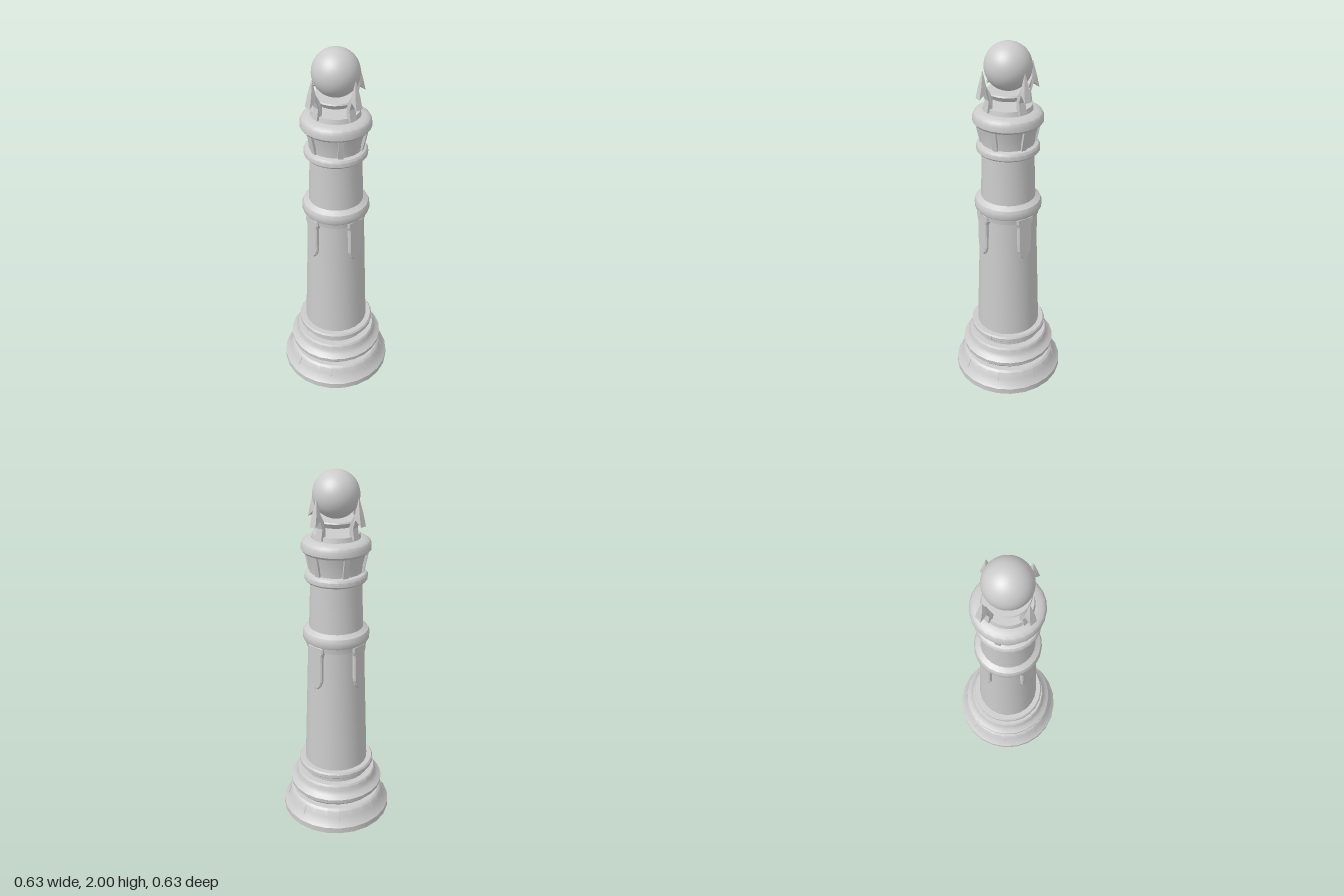
import * as THREE from 'three';
import { toCreasedNormals } from 'three/addons/utils/BufferGeometryUtils.js';

const material = new THREE.MeshStandardMaterial({ color: 0xcccccc, side: THREE.DoubleSide });

export function createModel() {
  const root = new THREE.Group();

  const add = (name, geometry, parent = root) => {
    const mesh = new THREE.Mesh(geometry, material);
    mesh.name = name;
    parent.add(mesh);
    return mesh;
  };

  // Turned part from [radius, height] pairs, bottom to top
  const turned = (name, points) => {
    const profile = points.map(([r, y]) => new THREE.Vector2(r, y));
    return add(name, toCreasedNormals(new THREE.LatheGeometry(profile, 24), 0.6));
  };

  // Repeats a part around the tower; the part is built facing +z
  const around = (name, count, offset, build) => {
    for (let i = 0; i < count; i++) {
      const group = new THREE.Group();
      group.name = name;
      group.rotation.y = offset + (i / count) * Math.PI * 2;
      build(group);
      root.add(group);
    }
  };

  const outline = (points) => new THREE.Shape(points.map(([x, y]) => new THREE.Vector2(x, y)));

  // Hollow stepped base, open below
  turned('base', [
    [0.314, 0], [0.314, 0.035], [0.3, 0.05], [0.28, 0.085], [0.268, 0.12], [0.255, 0.13],
    [0.212, 0.13], [0.212, 0.157], [0.25, 0.157], [0.266, 0.175], [0.268, 0.198],
    [0.245, 0.215], [0.233, 0.235], [0.23, 0.26], [0.222, 0.27], [0.187, 0.27], [0.187, 0.304],
  ]);
  turned('baseRing', [
    [0.187, 0.304], [0.207, 0.304], [0.215, 0.312], [0.215, 0.332], [0.208, 0.342], [0.178, 0.342],
  ]);

  // Tapering shaft with its two mouldings
  turned('lowerShaft', [[0.18, 0.34], [0.152, 1.1]]);
  turned('frieze', [[0.153, 1.072], [0.164, 1.072], [0.168, 1.105]]);
  turned('middleRing', [
    [0.15, 1.105], [0.176, 1.105], [0.181, 1.115], [0.181, 1.143], [0.174, 1.16],
    [0.158, 1.17], [0.146, 1.178],
  ]);
  turned('upperShaft', [[0.147, 1.165], [0.136, 1.445]]);
  turned('galleryRing', [
    [0.135, 1.437], [0.158, 1.437], [0.166, 1.446], [0.166, 1.468], [0.158, 1.48], [0.14, 1.486],
  ]);

  // Flared gallery, cap moulding and collar
  turned('gallery', [[0.138, 1.48], [0.143, 1.53], [0.16, 1.595]]);
  turned('capRing', [
    [0.155, 1.592], [0.172, 1.592], [0.182, 1.604], [0.182, 1.63], [0.174, 1.648],
    [0.155, 1.66], [0.128, 1.664],
  ]);
  turned('collar', [[0.128, 1.66], [0.122, 1.688], [0, 1.688]]);

  // Ball resting in a shallow cradle
  turned('cradle', [[0, 1.73], [0.095, 1.73], [0.112, 1.755], [0.108, 1.762], [0, 1.762]]);
  const ball = add('ball', new THREE.SphereGeometry(0.12, 40, 28));
  ball.position.y = 1.88;

  // Barbed claws: extruded side profile, narrowed toward the tip
  const clawShape = outline([
    [0.105, 1.67], [0.135, 1.67], [0.125, 1.73], [0.14, 1.775], [0.176, 1.745],
    [0.163, 1.805], [0.146, 1.88], [0.135, 1.805], [0.116, 1.77], [0.102, 1.735],
  ]);
  const claw = new THREE.ExtrudeGeometry(clawShape, { depth: 0.038, bevelEnabled: false });
  claw.translate(0, 0, -0.019);
  const p = claw.attributes.position;
  for (let i = 0; i < p.count; i++) {
    const taper = THREE.MathUtils.clamp((p.getY(i) - 1.78) / 0.1, 0, 1);
    p.setZ(i, p.getZ(i) * (1 - 0.85 * taper));
  }
  claw.rotateY(-Math.PI / 2);
  claw.computeVertexNormals();
  around('claw', 4, 0, (g) => add('clawBlade', claw, g));

  // Pointed hanging brackets below the middle ring
  const bracketShape = outline([
    [-0.012, 0.847], [0.012, 0.847], [0.03, 0.868], [0.041, 0.9], [0.041, 1.05], [0.05, 1.072],
    [0.05, 1.105], [-0.05, 1.105], [-0.05, 1.072], [-0.041, 1.05], [-0.041, 0.9], [-0.03, 0.868],
  ]);
  const bracket = new THREE.ExtrudeGeometry(bracketShape, {
    depth: 0.04, bevelThickness: 0.006, bevelSize: 0.006, bevelOffset: -0.006, bevelSegments: 1,
  });
  bracket.translate(0, 0, 0.124);
  around('bracket', 4, 0, (g) => add('bracketPanel', bracket, g));

  // Upright ribs on the gallery, leaning out with the wall
  around('galleryRib', 6, Math.PI / 6, (g) => {
    const rib = add('rib', new THREE.BoxGeometry(0.028, 0.115, 0.02), g);
    rib.position.set(0, 1.538, 0.147);
    rib.rotation.x = 0.2;
  });

  // Fine joints on the base and its ring
  around('baseJoint', 8, 0, (g) => {
    const joint = add('joint', new THREE.BoxGeometry(0.007, 0.055, 0.008), g);
    joint.position.set(0, 0.09, 0.277);
    joint.rotation.x = -0.38;
  });
  around('ringJoint', 6, Math.PI / 6, (g) => {
    const joint = add('joint', new THREE.BoxGeometry(0.006, 0.026, 0.008), g);
    joint.position.set(0, 0.322, 0.212);
  });

  return root;
}
